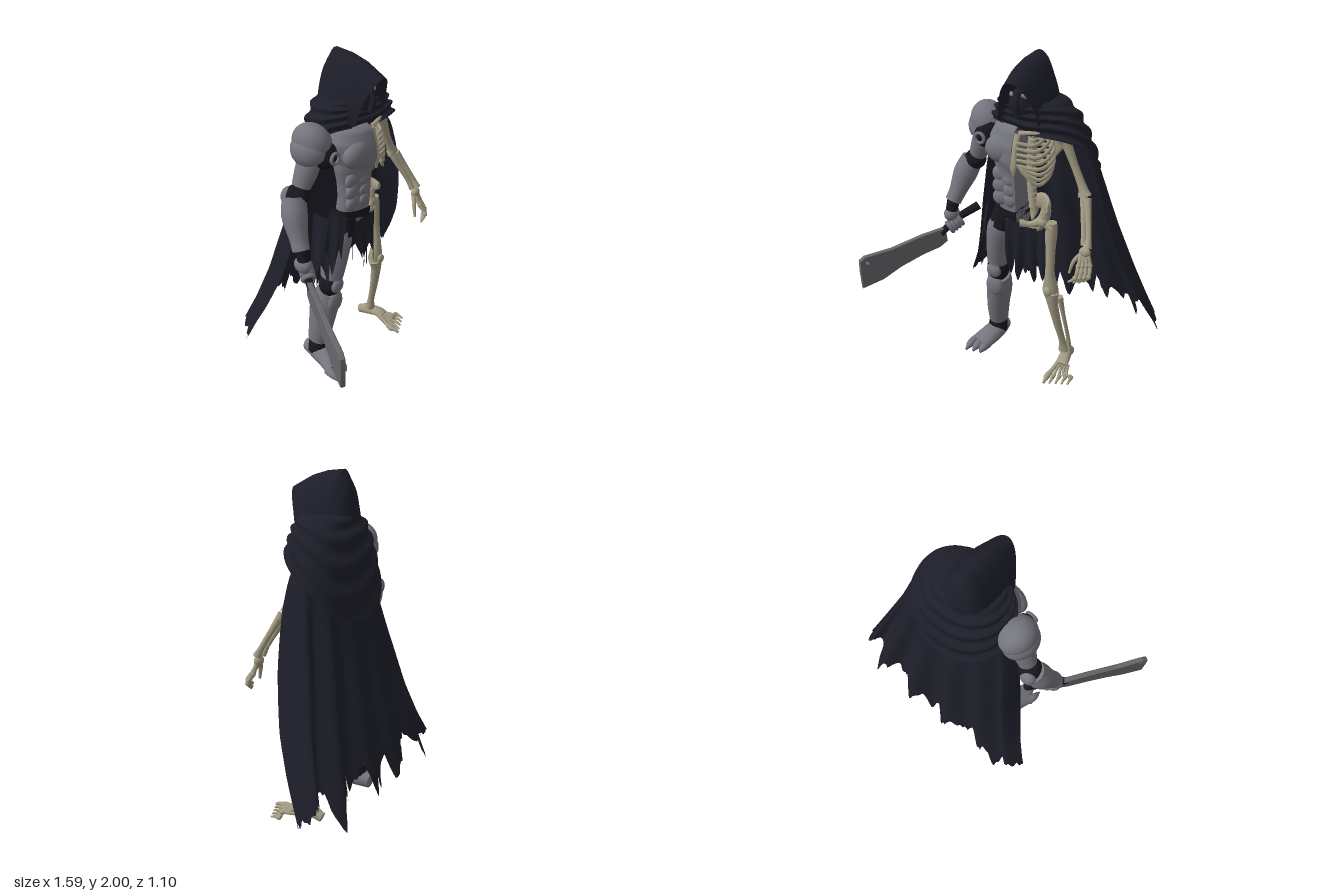
import * as THREE from 'three';
import { toCreasedNormals } from 'three/addons/utils/BufferGeometryUtils.js';

const paint = (name, color, side = THREE.FrontSide) => {
  const m = new THREE.MeshStandardMaterial({ color, side });
  m.name = name;
  return m;
};
const cloth = paint('cloth', 0x1e1e2a, THREE.DoubleSide);
const dark = paint('darkJoint', 0x17171e);
const armour = paint('armour', 0x75757e, THREE.DoubleSide);
const bone = paint('bone', 0xa29b83);
const steel = paint('steel', 0x67676b);
const eye = paint('eye', 0x85858c);

const V = (p) => new THREE.Vector3(p[0], p[1], p[2]);
const lerp = THREE.MathUtils.lerp;
const hash = (n) => { const s = Math.sin(n * 127.1) * 43758.5; return s - Math.floor(s); };
const bend = (x, p) => Math.sign(x) * Math.abs(x) ** p;
// Interpolates a table whose rows start with an ascending key
const lookup = (table, k) => {
  let i = 0;
  while (i < table.length - 2 && k > table[i + 1][0]) i++;
  const a = table[i], b = table[i + 1];
  const t = THREE.MathUtils.clamp((k - a[0]) / (b[0] - a[0]), 0, 1);
  return a.map((v, j) => lerp(v, b[j], t));
};

export function createModel() {
  const root = new THREE.Group();
  let part;
  const group = (name) => { part = new THREE.Group(); part.name = name; root.add(part); };
  const add = (name, geo, mat) => {
    const m = new THREE.Mesh(geo, mat);
    m.name = name;
    part.add(m);
    return m;
  };
  // Surface from a rule f(u, v) -> [x, y, z]
  const surface = (name, mat, f, nu, nv, crease = 0.9) => {
    const pos = [], idx = [];
    for (let j = 0; j <= nv; j++) for (let i = 0; i <= nu; i++) pos.push(...f(i / nu, j / nv));
    for (let j = 0; j < nv; j++) for (let i = 0; i < nu; i++) {
      const a = j * (nu + 1) + i, c = a + nu + 1;
      idx.push(a, a + 1, c, a + 1, c + 1, c);
    }
    const g = new THREE.BufferGeometry();
    g.setAttribute('position', new THREE.Float32BufferAttribute(pos, 3));
    g.setIndex(idx);
    return add(name, toCreasedNormals(g, crease), mat);
  };
  // Capped tube through [x, y, z, r1, r2]; r1 lies along ref
  const tube = (name, mat, pts, ref = [1, 0, 0], seg = 14) => {
    const path = new THREE.CatmullRomCurve3(pts.map(V));
    const radii = new THREE.CatmullRomCurve3(pts.map((p) => new THREE.Vector3(p[3], p[4] ?? p[3], 0)), false, 'catmullrom', 0.5);
    const n = (pts.length - 1) * 5;
    return surface(name, mat, (u, v) => {
      const j = Math.round(v * (n + 2)) - 1, t = THREE.MathUtils.clamp(j / n, 0, 1);
      const p = path.getPoint(t), T = path.getTangent(t), r = radii.getPoint(t);
      const cap = j < 0 || j > n ? 0 : 1, a = u * Math.PI * 2;
      const N = V(ref).addScaledVector(T, -V(ref).dot(T)).normalize();
      const B = new THREE.Vector3().crossVectors(T, N);
      return p.addScaledVector(N, cap * Math.cos(a) * r.x).addScaledVector(B, cap * Math.sin(a) * r.y).toArray();
    }, seg, n + 2);
  };
  const ball = (name, mat, p, s, rz = 0, cut = Math.PI) => {
    const m = add(name, new THREE.SphereGeometry(1, 20, 14, 0, Math.PI * 2, 0, cut), mat);
    m.position.set(...p); m.scale.set(...s); m.rotation.z = rz;
    return m;
  };
  const Y = [0, 1, 0];

  // Long ragged cloak with folds: rows are y, x right, x left, z edge, z back
  group('cloak');
  const drape = [[0.2, -0.63, 0.8, -0.4, -0.53], [0.3, -0.6, 0.785, -0.37, -0.5], [0.5, -0.5, 0.72, -0.29, -0.46], [0.7, -0.43, 0.655, -0.22, -0.42], [1.0, -0.355, 0.555, -0.15, -0.36],
    [1.3, -0.29, 0.47, -0.11, -0.305], [1.45, -0.25, 0.42, -0.1, -0.275], [1.6, -0.16, 0.31, -0.08, -0.22], [1.68, -0.08, 0.14, -0.05, -0.16]];
  const hem = [[-0.6, 0.28], [-0.56, 0.36], [-0.49, 0.33], [-0.43, 0.2], [-0.4, 0.42], [-0.33, 0.36], [-0.27, 0.44], [-0.2, 0.36], [-0.1, 0.42], [0, 0.25],
    [0.04, 0.44], [0.12, 0.22], [0.18, 0.42], [0.26, 0.28], [0.32, 0.48], [0.42, 0.34], [0.45, 0.46], [0.51, 0.34], [0.54, 0.4], [0.58, 0.2], [0.64, 0.42], [0.7, 0.46], [0.74, 0.38], [0.785, 0.28]];
  surface('cloak', cloth, (u, v) => {
    const place = (y) => {
      const [, l, r, ze, zb] = lookup(drape, y), a = Math.PI * u, k = (1.68 - y) / 1.4;
      const edge = ze + 0.25 * u * u * k * (1 - k);
      const x = (l + r) / 2 - (r - l) / 2 * Math.cos(a);
      return [x, y, edge + (zb - edge) * Math.sin(a) ** lerp(1, 0.6, Math.min(1, k * 2)) + 0.04 * k * Math.sin(u * Math.PI * 13)];
    };
    const end = lookup(hem, place(0.3)[0])[1] + 0.04 * (hash(Math.round(u * 150)) - 0.5);
    return place(lerp(1.68, end, v));
  }, 150, 32, 1.2);

  // Draped cowl, long and pointed at the back
  surface('cowl', cloth, (u, v) => {
    const a = u * Math.PI * 2, s = Math.sin(a), c = Math.cos(a), k = v ** 0.55;
    const yb = 1.6 - 0.37 * ((1 - c) / 2) ** 1.5 - 0.03 * Math.max(0, s) * (1 - c) + 0.07 * Math.max(0, -s);
    const rip = 0.009 * Math.sin(v * 26 + 1.5 * Math.sin(a * 2)) * Math.min(1, v * 4);
    return [lerp(0.03, 0.09, k) + (lerp(0.11, 0.325, k) + rip) * bend(s, 0.85), lerp(1.77, yb, v ** 1.4) + rip * 0.5,
      lerp(-0.07, -0.14, k) + (lerp(0.13, 0.21, k) + rip) * bend(c, 0.85)];
  }, 64, 36, 1.2);

  // Peaked hood: rows are station, z top, y top, z bottom, y bottom, half width
  group('head');
  const stations = [[0, 0.16, 1.9, 0.075, 1.65, 0.125], [0.3, 0.03, 1.965, 0.02, 1.65, 0.142], [0.5, -0.06, 1.99, -0.06, 1.64, 0.15], [0.68, -0.165, 2.0, -0.13, 1.63, 0.145],
    [0.82, -0.205, 1.93, -0.2, 1.63, 0.125], [0.93, -0.24, 1.8, -0.235, 1.63, 0.08], [1, -0.25, 1.75, -0.25, 1.63, 0.005]];
  const arch = (u, v, inset = 0) => {
    const [, zt, yt, zb, yb, hw] = lookup(stations, v), a = (u - 0.5) * Math.PI, h = Math.max(0, Math.cos(a)) ** 1.3;
    return [0.03 + hw * (1 - inset) * Math.sin(a), lerp(yb, yt - inset * 0.15, h), lerp(zb, zt, h ** 1.6) - 0.15 * inset];
  };
  surface('hood', cloth, (u, v) => arch(u, v), 36, 28, 0.8);
  surface('hoodLining', cloth, (u, v) => arch(u, v * 0.2, 0.45 * Math.min(1, v * 3)), 32, 6);
  ball('mask', cloth, [0.03, 1.765, 0.0], [0.085, 0.13, 0.085]);
  tube('maskRidge', cloth, [[0.03, 1.83, 0.075, 0.01], [0.03, 1.77, 0.095, 0.016], [0.03, 1.7, 0.08, 0.024]]);
  for (const s of [-1, 1]) ball('eye', eye, [0.03 + s * 0.045, 1.815, 0.071], [0.025, 0.014, 0.005], -s * 0.15).rotation.y = s * 0.5;
  tube('neck', dark, [[0.03, 1.72, -0.06, 0.05], [0.03, 1.56, -0.06, 0.06]]);

  // Armoured half of the torso, flat where it meets the skeleton
  group('armouredTorso');
  const half = (name, mat, rows, grow = 0, slant = 0) => surface(name, mat, (u, v) => {
    const [, rx, rz, cz] = lookup(rows.map(([y, ...r]) => [-y, ...r]), lerp(-rows[0][0], -rows.at(-1)[0], v));
    const a = Math.min(1, u / 0.85) * Math.PI, back = Math.max(0, (u - 0.85) / 0.15);
    const y = lerp(rows[0][0], rows.at(-1)[0], v) + slant * v * Math.sin(a);
    return [0.02 - (rx + grow) * Math.sin(a), y, cz + (rz + grow) * (back ? lerp(-1, 1, back) : Math.cos(a))];
  }, 40, 24);
  half('trunk', armour, [[1.65, 0.02, 0.02, -0.03], [1.63, 0.12, 0.07, -0.03], [1.56, 0.17, 0.105, -0.01], [1.4, 0.18, 0.105, 0], [1.28, 0.155, 0.092, 0], [1.18, 0.15, 0.088, 0], [1.1, 0.155, 0.09, -0.01], [1.03, 0.13, 0.085, -0.02], [0.98, 0.03, 0.03, -0.02]]);
  half('breastplate', armour, [[1.64, 0.1, 0.06, -0.02], [1.61, 0.16, 0.1, -0.01], [1.52, 0.19, 0.122, 0], [1.42, 0.185, 0.125, 0], [1.355, 0.17, 0.105, 0]], 0.008, 0.07);
  half('belt', dark, [[1.12, 0.15, 0.086, -0.005], [1.05, 0.15, 0.088, -0.015]], 0.012, 0.03);
  ball('pectoral', armour, [-0.075, 1.49, 0.07], [0.105, 0.085, 0.06], 0.25);
  for (let i = 0; i < 3; i++) {
    ball('abdomenPlate', armour, [-0.02, 1.31 - i * 0.065, 0.078], [0.042, 0.04, 0.02]);
    ball('flankPlate', armour, [-0.09, 1.33 - i * 0.075, 0.052], [0.062, 0.05, 0.028], 0.5);
  }

  // Armoured arm
  group('armouredArm');
  ball('shoulderJoint', dark, [-0.235, 1.51, -0.03], [0.07, 0.08, 0.08]);
  const ring = add('shoulderRing', new THREE.TorusGeometry(0.03, 0.01, 8, 20), armour);
  ring.position.set(-0.235, 1.51, 0.05);
  ball('pauldron', armour, [-0.255, 1.565, -0.09], [0.1, 0.125, 0.115], 0.45, Math.PI * 0.5);
  ball('pauldronLame', armour, [-0.275, 1.53, -0.09], [0.098, 0.11, 0.112], 0.6, Math.PI * 0.52);
  tube('upperArm', armour, [[-0.26, 1.56, -0.08, 0.055], [-0.3, 1.44, -0.09, 0.066], [-0.345, 1.34, -0.1, 0.054]]);
  ball('elbow', dark, [-0.375, 1.29, -0.11], [0.066, 0.062, 0.07]);
  ball('elbowGuard', armour, [-0.395, 1.285, -0.15], [0.05, 0.055, 0.04]);
  tube('forearm', armour, [[-0.395, 1.29, -0.11, 0.066], [-0.43, 1.2, -0.08, 0.073], [-0.458, 1.09, -0.03, 0.054], [-0.475, 1.03, 0, 0.05]]);
  tube('wrist', dark, [[-0.47, 1.04, 0, 0.04], [-0.478, 0.97, 0.02, 0.036]]);
  ball('hand', armour, [-0.48, 0.945, 0.015], [0.045, 0.05, 0.055]);

  // Cleaver held in the fist
  group('cleaver');
  const h0 = V([-0.51, 0.83, 0.1]), h1 = V([-0.37, 0.97, -0.12]);
  tube('handle', dark, [[...h0.toArray(), 0.02, 0.022], [-0.465, 0.9, 0.015, 0.022, 0.024], [...h1.toArray(), 0.026, 0.03]], Y);
  for (let i = 0; i < 4; i++) {
    const f = add('finger', new THREE.TorusGeometry(0.032, 0.014, 8, 16), armour);
    f.position.lerpVectors(h0, h1, 0.24 + i * 0.085);
    f.quaternion.setFromUnitVectors(V([0, 0, 1]), h1.clone().sub(h0).normalize());
  }
  const blade = new THREE.Shape([[0, 0.865], [-0.01, 0.775], [0.04, 0.745], [0.15, 0.725], [0.3, 0.68], [0.42, 0.625], [0.55, 0.6], [0.553, 0.7], [0.55, 0.785], [0.52, 0.805], [0.35, 0.812], [0.15, 0.85]].map((p) => new THREE.Vector2(...p)));
  blade.holes.push(new THREE.Path().absarc(0.51, 0.765, 0.012, 0, Math.PI * 2, true));
  const bladeGeo = new THREE.ExtrudeGeometry(blade, { depth: 0.02, bevelSize: 0.004, bevelThickness: 0.005, bevelSegments: 1 });
  const bm = add('blade', bladeGeo.translate(0, 0, -0.01), steel);
  bm.position.set(-0.5, 0, 0.075);
  bm.rotation.y = Math.atan2(-0.855, -0.518);

  // Armoured leg
  group('armouredLeg');
  tube('hipJoint', dark, [[-0.09, 1.07, -0.02, 0.08, 0.08], [-0.13, 0.96, -0.02, 0.08, 0.085]]);
  tube('thigh', armour, [[-0.13, 1.0, -0.015, 0.062, 0.075], [-0.145, 0.93, -0.02, 0.08, 0.088], [-0.165, 0.8, -0.03, 0.077, 0.085], [-0.18, 0.67, -0.04, 0.068, 0.072]]);
  ball('kneeJoint', dark, [-0.185, 0.61, -0.05], [0.072, 0.095, 0.07]);
  ball('kneecap', armour, [-0.185, 0.615, 0.005], [0.05, 0.05, 0.028]);
  ball('shinCrest', armour, [-0.19, 0.49, -0.01], [0.06, 0.075, 0.03]);
  tube('greave', armour, [[-0.186, 0.55, -0.06, 0.07, 0.075], [-0.2, 0.45, -0.085, 0.079, 0.096], [-0.22, 0.3, -0.1, 0.072, 0.084], [-0.232, 0.16, -0.12, 0.062, 0.068]]);
  tube('ankle', dark, [[-0.23, 0.18, -0.12, 0.056], [-0.24, 0.07, -0.12, 0.066]]);
  tube('boot', armour, [[-0.235, 0.05, -0.215, 0.04, 0.045], [-0.24, 0.062, -0.12, 0.064, 0.06], [-0.255, 0.052, -0.02, 0.072, 0.05], [-0.28, 0.036, 0.06, 0.072, 0.034]]);
  for (let i = 0; i < 3; i++) {
    const x = -0.33 + i * 0.048;
    tube('toe', armour, [[x + 0.008, 0.034, 0.03, 0.028, 0.032], [x, 0.028, 0.085, 0.025, 0.026], [x - 0.005, 0.01, 0.135 - i * 0.01, 0.006, 0.008]]);
  }

  // Torn waist cloth: centre x, z, width, top, bottom, spin
  group('waistCloth');
  const strips = [[-0.005, 0.08, 0.1, 1.06, 0.68, 0], [0.07, 0.05, 0.13, 1.02, 0.64, 0.2], [0.1, -0.06, 0.16, 1.0, 0.6, 0.1], [-0.2, 0.03, 0.1, 1.12, 0.74, -1.0],
    [-0.225, -0.06, 0.14, 1.1, 0.62, -1.5], [-0.1, -0.13, 0.22, 1.1, 0.55, 0]];
  strips.forEach(([x, z, w, top, low, spin], k) => surface('strip', cloth, (u, v) => {
    const end = lerp(low, low + 0.18, Math.abs(((u * 1.3 + k * 0.3) % 1) - 0.5) * 2);
    const s = (u - 0.5) * w, d = 0.01 * Math.sin(u * 9 + k) * (0.3 + v);
    const flare = v * (x < -0.15 ? -0.05 : 0);
    return [x + s * Math.cos(spin) + d * Math.sin(spin) + flare, lerp(top, end, v), z - s * Math.sin(spin) + d * Math.cos(spin)];
  }, 20, 10));

  // Rib cage, spine and pelvis
  group('skeletonTorso');
  for (let i = 0; i < 15; i++) {
    const y = 1.62 - i * 0.037, z = -0.085 + 0.035 * Math.sin(i / 14 * Math.PI);
    const v = add('vertebra', new THREE.CylinderGeometry(0.025, 0.028, 0.03, 12), bone);
    v.position.set(0.045, y, z);
    tube('vertebraSpur', bone, [[0.045, y, z - 0.01, 0.011], [0.045, y - 0.012, z - 0.05, 0.006]], [1, 0, 0], 6);
  }
  tube('sternum', bone, [[0.03, 1.6, 0.085, 0.026, 0.012], [0.03, 1.52, 0.112, 0.018, 0.01], [0.03, 1.42, 0.125, 0.021, 0.01], [0.03, 1.37, 0.122, 0.008, 0.006]]);
  for (let i = 0; i < 8; i++) {
    const y = 1.585 - i * 0.033, w = 0.1 + 0.065 * Math.sin((i + 1) / 8 * 2.3), low = Math.max(0, i - 4);
    tube('rib', bone, [[0.05, y + 0.035, -0.08, 0.01, 0.008], [0.04 + w * 0.65, y + 0.035, -0.095, 0.012, 0.008], [0.04 + w, y + 0.005, -0.02, 0.013, 0.008],
      [0.04 + w * 0.8, y - 0.035, 0.07, 0.013, 0.008], [0.045 + low * 0.012, y - 0.025 + low * 0.022, 0.115, 0.01, 0.008]], Y, 8);
  }
  tube('collarbone', bone, [[0.04, 1.605, 0.08, 0.015], [0.13, 1.615, 0.06, 0.011], [0.25, 1.61, -0.01, 0.016]], Y, 10);
  tube('shoulderBlade', bone, [[0.24, 1.6, -0.06, 0.03, 0.012], [0.18, 1.53, -0.11, 0.06, 0.01], [0.15, 1.42, -0.115, 0.015, 0.008]]);
  tube('sacrum', bone, [[0.04, 1.15, -0.08, 0.04, 0.025], [0.04, 1.06, -0.1, 0.03, 0.018], [0.04, 1.0, -0.08, 0.008]]);
  tube('hipBlade', bone, [[0.045, 1.12, -0.085, 0.04, 0.018], [0.12, 1.145, -0.075, 0.055, 0.014], [0.18, 1.145, -0.02, 0.048, 0.014], [0.185, 1.15, 0.03, 0.022, 0.014]], Y);
  tube('hipSocket', bone, [[0.165, 1.13, -0.02, 0.03], [0.145, 1.06, -0.015, 0.034], [0.09, 1.035, 0.03, 0.018], [0.03, 1.04, 0.055, 0.024]]);
  tube('seatBone', bone, [[0.14, 1.04, -0.03, 0.024], [0.11, 0.985, -0.04, 0.02], [0.07, 0.99, 0.01, 0.014], [0.035, 1.03, 0.05, 0.014]], [0, 0, 1]);

  // Skeleton arm and hand
  group('skeletonArm');
  ball('shoulderHead', bone, [0.255, 1.58, -0.03], [0.038, 0.036, 0.038]);
  tube('humerus', bone, [[0.26, 1.59, -0.03, 0.038], [0.285, 1.53, -0.03, 0.027], [0.335, 1.41, -0.035, 0.022], [0.38, 1.31, -0.035, 0.026], [0.395, 1.27, -0.03, 0.042, 0.028]]);
  tube('radius', bone, [[0.415, 1.265, -0.02, 0.025], [0.45, 1.17, 0.03, 0.017], [0.48, 1.07, 0.08, 0.017], [0.485, 1.03, 0.1, 0.025]]);
  tube('ulna', bone, [[0.385, 1.285, -0.045, 0.025], [0.405, 1.2, 0, 0.017], [0.44, 1.09, 0.06, 0.014], [0.455, 1.03, 0.085, 0.018]]);
  ball('wristBones', bone, [0.472, 1.0, 0.1], [0.034, 0.03, 0.024]);
  for (let k = -1.5; k < 2; k++) {
    const p = [[0.473 + 0.012 * k, 0.995, 0.1], [0.485 + 0.018 * k, 0.93, 0.13 - 0.012 * k], [0.49 + 0.02 * k, 0.875, 0.165 - 0.015 * k], [0.455 + 0.024 * k, 0.825 + 0.008 * Math.abs(k), 0.165 - 0.015 * k]];
    tube('fingerBones', bone, p.map((q, i) => [...q, [0.012, 0.012, 0.011, 0.006][i]]), [1, 0, 0], 8);
    for (const q of p.slice(1, 3)) ball('knuckle', bone, q, [0.015, 0.015, 0.015]);
  }
  tube('thumbBones', bone, [[0.455, 0.99, 0.1, 0.013], [0.42, 0.94, 0.13, 0.012], [0.405, 0.87, 0.15, 0.007]], [1, 0, 0], 8);

  // Skeleton leg and foot
  group('skeletonLeg');
  ball('femurHead', bone, [0.15, 1.05, -0.01], [0.036, 0.036, 0.036]);
  tube('femurNeck', bone, [[0.15, 1.05, -0.01, 0.025], [0.205, 1.02, -0.02, 0.034]], Y);
  tube('femur', bone, [[0.205, 1.055, -0.02, 0.028], [0.2, 0.98, -0.02, 0.036], [0.203, 0.86, -0.01, 0.029], [0.208, 0.72, 0, 0.029], [0.21, 0.64, -0.005, 0.044, 0.038], [0.21, 0.59, -0.01, 0.052, 0.043]]);
  ball('kneecap', bone, [0.21, 0.605, 0.035], [0.028, 0.032, 0.016]);
  tube('tibia', bone, [[0.215, 0.575, -0.01, 0.052, 0.04], [0.222, 0.52, -0.01, 0.036, 0.033], [0.245, 0.35, -0.04, 0.026], [0.268, 0.18, -0.08, 0.022], [0.275, 0.1, -0.095, 0.036, 0.03]]);
  tube('fibula', bone, [[0.262, 0.545, -0.035, 0.02], [0.278, 0.4, -0.06, 0.013], [0.298, 0.2, -0.1, 0.013], [0.308, 0.09, -0.105, 0.02]]);
  tube('heel', bone, [[0.28, 0.035, -0.185, 0.026, 0.03], [0.285, 0.06, -0.12, 0.034, 0.036], [0.3, 0.065, -0.04, 0.04, 0.026], [0.305, 0.055, 0, 0.04, 0.018]]);
  for (let i = 0; i < 5; i++) {
    const x = 0.26 + i * 0.034, len = 0.16 - i * 0.016, r = i ? 0.011 : 0.016;
    const base = 0.278 + i * 0.015;
    tube('toeBones', bone, [[base, 0.06 - i * 0.005, -0.03, r], [lerp(base, x, 0.6), 0.035, 0.05, r * 0.85], [x, 0.02, len - 0.06, r * 1.25], [x + 0.003, 0.02, len - 0.03, r * 0.85], [x + 0.004, 0.009, len, r * 0.55]], [1, 0, 0], 8);
  }
  return root;
}
